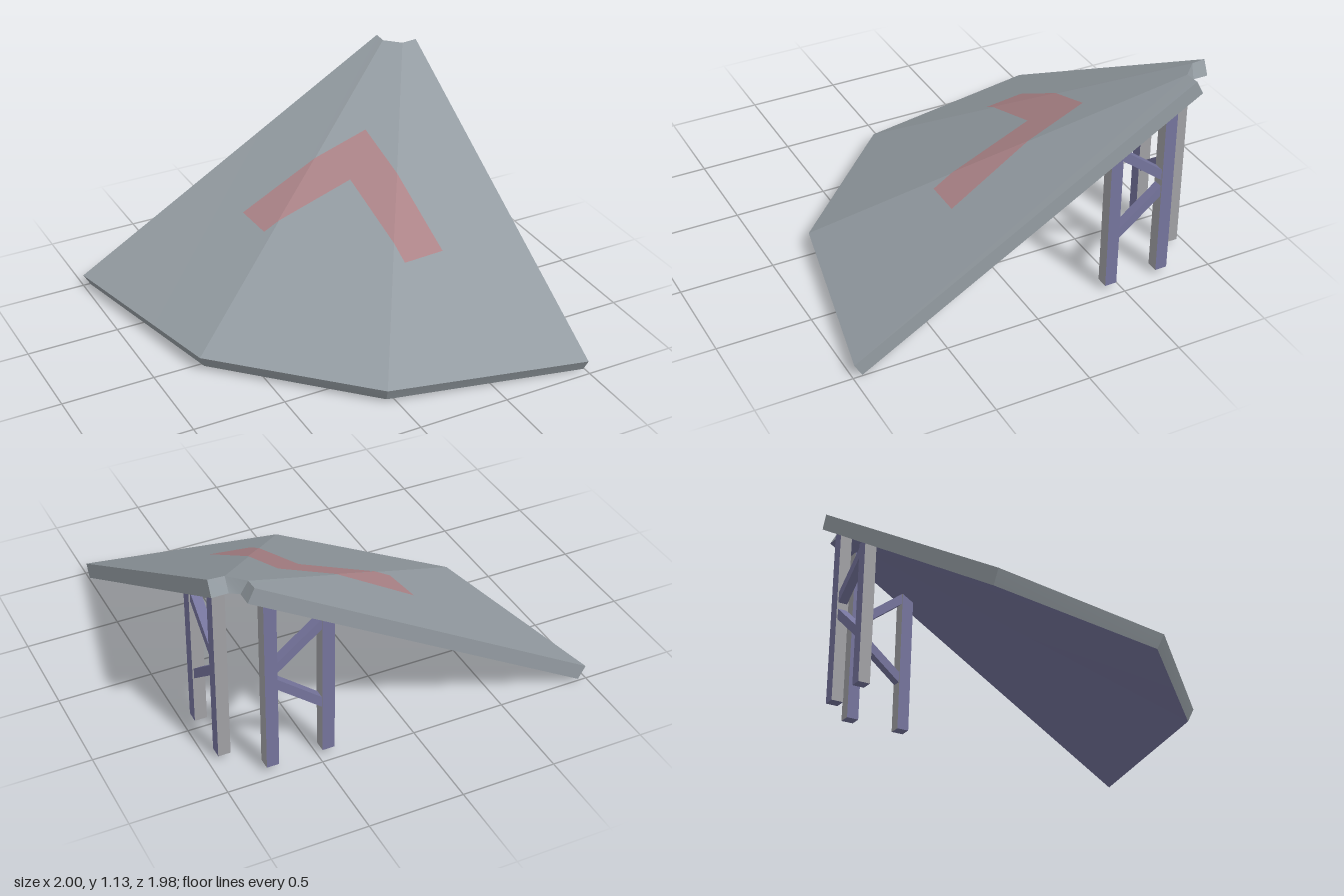
import * as THREE from 'three';

const deckGrey = new THREE.MeshStandardMaterial({ color: 0x949ca2 });
const postGrey = new THREE.MeshStandardMaterial({ color: 0xa0a0a4 });
const violet = new THREE.MeshStandardMaterial({ color: 0x75749c });
const red = new THREE.MeshStandardMaterial({ color: 0xac8488, side: THREE.DoubleSide });

// Slab corner rings, running from the back edge round to the side edge
const outerTop = [[-1, 0.07, -0.99], [-0.77, 0.09, 0.07], [-0.06, 0.09, 0.77], [0.995, 0.07, 0.99]];
const outerLow = [[-0.96, 0, -0.99], [-0.74, 0.02, 0.05], [-0.05, 0.02, 0.74], [0.995, 0, 0.95]];
const innerTop = [[0.83, 1.135, -0.99], [0.83, 1.13, -0.92], [0.91, 1.13, -0.84], [0.995, 1.135, -0.84]];
const innerLow = [[0.865, 1.06, -0.99], [0.865, 1.06, -0.91], [0.91, 1.06, -0.88], [0.995, 1.06, -0.88]];

function mesh(name, geometry, material) {
  const m = new THREE.Mesh(geometry, material);
  m.name = name;
  return m;
}

// Four-cornered faces, each shaded on its own so the creases stay sharp
function quadGeometry(quads) {
  const g = new THREE.BufferGeometry();
  g.setAttribute('position', new THREE.Float32BufferAttribute(quads.flat(2), 3));
  g.setIndex(quads.flatMap((_, i) => [0, 1, 3, 1, 2, 3].map((k) => 4 * i + k)));
  g.computeVertexNormals();
  return g;
}

// Three-sided fan slab, lofted between the rings, with a darker underside
function rampSlab() {
  const shell = [
    [outerLow[0], outerTop[0], innerTop[0], innerLow[0]],
    [outerLow[3], innerLow[3], innerTop[3], outerTop[3]],
  ];
  const under = [];
  for (let i = 0; i < 3; i++) {
    const j = i + 1;
    shell.push(
      [outerTop[i], outerTop[j], innerTop[j], innerTop[i]],
      [outerLow[i], outerLow[j], outerTop[j], outerTop[i]],
      [innerLow[j], innerLow[i], innerTop[i], innerTop[j]],
    );
    under.push([outerLow[j], outerLow[i], innerLow[i], innerLow[j]]);
  }
  const slab = new THREE.Group();
  slab.name = 'rampSlab';
  slab.add(mesh('deck', quadGeometry(shell), deckGrey), mesh('underside', quadGeometry(under), violet));
  return slab;
}

// Flat patch given in plan (x, z), laid just above one facet of the slab
function patchGeometry(facet, points) {
  const corners = [outerTop[facet], outerTop[facet + 1], innerTop[facet === 2 ? 2 : 1]];
  const plane = new THREE.Plane().setFromCoplanarPoints(...corners.map((p) => new THREE.Vector3(...p)));
  const n = plane.normal;
  const g = new THREE.ShapeGeometry(new THREE.Shape(points.map(([x, z]) => new THREE.Vector2(x, -z))));
  const p = g.attributes.position;
  for (let i = 0; i < p.count; i++) {
    const x = p.getX(i), z = -p.getY(i);
    p.setXYZ(i, x, -(plane.constant + n.x * x + n.z * z) / n.y + 0.004, z);
  }
  g.computeVertexNormals();
  return g;
}

// Two posts and two slanted braces, standing in the local xy plane
function supportFrame(name) {
  const frame = new THREE.Group();
  frame.name = name;
  // Posts have grey flanks; the other faces are violet
  const postFaces = [postGrey, postGrey, violet, violet, violet, violet];
  for (const [x, top] of [[0.445, 0.82], [0.742, 0.99]]) {
    const post = mesh('post', new THREE.BoxGeometry(0.065, top - 0.03, 0.065), postFaces);
    post.position.set(x, (top + 0.03) / 2, 0);
    frame.add(post);
  }
  for (const [y0, y1] of [[0.795, 0.60], [0.32, 0.52]]) {
    const shape = new THREE.Shape([
      [0.47, y0 - 0.03], [0.72, y1 - 0.03], [0.72, y1 + 0.03], [0.47, y0 + 0.03],
    ].map(([x, y]) => new THREE.Vector2(x, y)));
    const brace = mesh('brace', new THREE.ExtrudeGeometry(shape, { depth: 0.05, bevelEnabled: false }), violet);
    brace.position.z = -0.025;
    frame.add(brace);
  }
  return frame;
}

export function createModel() {
  const model = new THREE.Group();
  model.name = 'cornerRamp';
  model.add(rampSlab());

  // Bent marking, split where it crosses the two creases
  const marking = new THREE.Group();
  marking.name = 'cornerMarking';
  marking.add(
    mesh('markingBackArm', patchGeometry(0, [[-0.22, -0.56], [-0.20, -0.34], [-0.12, -0.335], [0.20, -0.53]]), red),
    mesh('markingCorner', patchGeometry(1, [[0.20, -0.53], [-0.12, -0.335], [0.30, -0.31], [0.324, 0.13], [0.52, -0.19], [0.50, -0.51]]), red),
    mesh('markingSideArm', patchGeometry(2, [[0.52, -0.19], [0.324, 0.13], [0.33, 0.24], [0.55, 0.25]]), red),
  );
  model.add(marking);

  // Matching frames under the back edge and the side edge
  const back = supportFrame('backSupport');
  back.position.z = -0.92;
  const side = supportFrame('sideSupport');
  side.rotation.y = Math.PI / 2;
  side.position.x = 0.92;
  model.add(back, side);
  return model;
}
